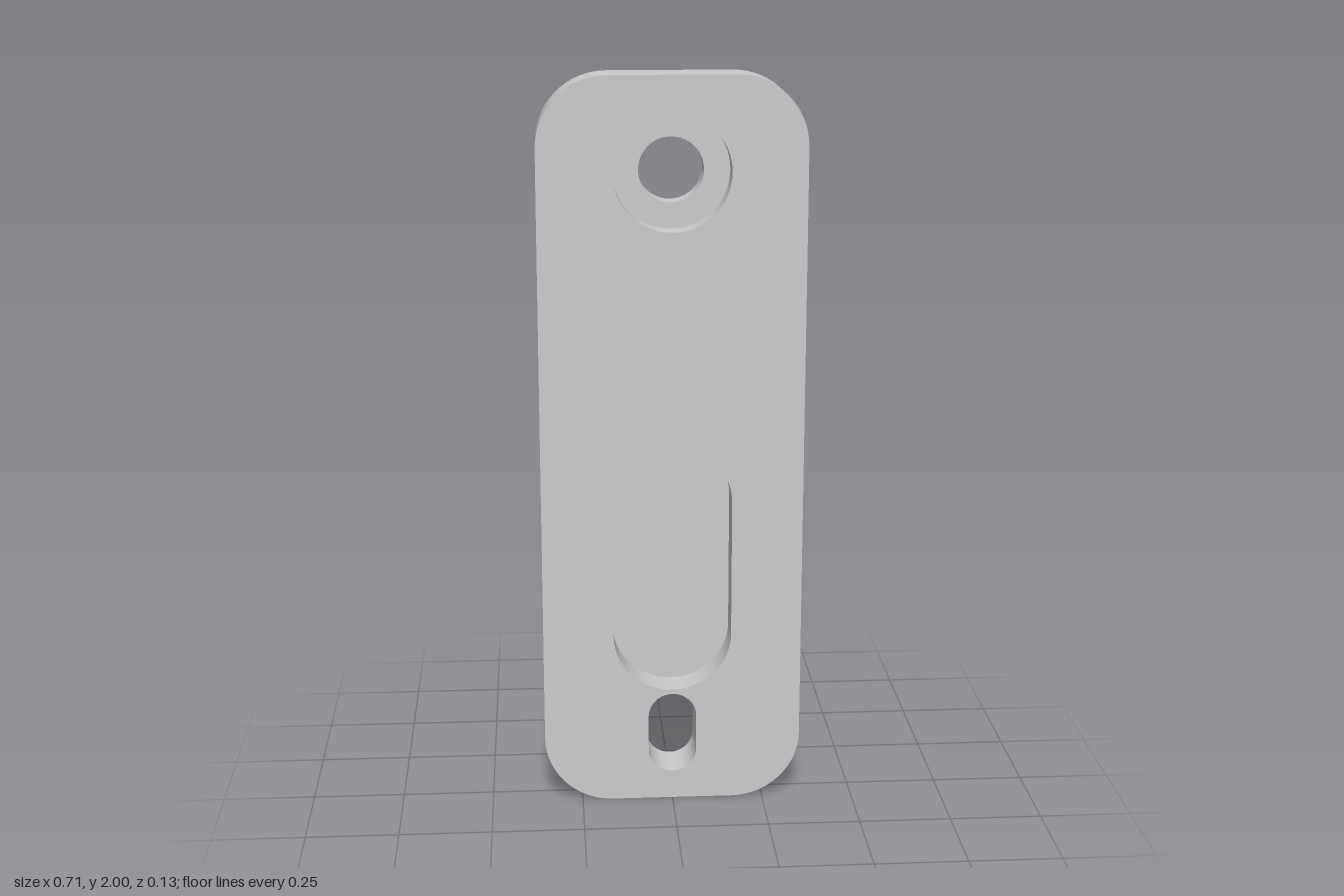
import * as THREE from 'three';
import { toCreasedNormals } from 'three/addons/utils/BufferGeometryUtils.js';

const HALF = 0.064; // half the plate thickness
const material = new THREE.MeshStandardMaterial({ color: 0xcccccc });

// Counter-clockwise rounded rectangle; r = half the width gives a slot or circle
function outline(cy, w, h, r, segments = 16) {
  const points = [];
  const corners = [[1, 1], [-1, 1], [-1, -1], [1, -1]];
  corners.forEach(([sx, sy], k) => {
    for (let i = 0; i <= segments; i++) {
      const a = (k + i / segments) * Math.PI / 2;
      const p = new THREE.Vector2(
        sx * (w / 2 - r) + r * Math.cos(a),
        cy + sy * (h / 2 - r) + r * Math.sin(a));
      const last = points[points.length - 1];
      if (!last || last.distanceTo(p) > 1e-5) points.push(p);
    }
  });
  if (points[0].distanceTo(points[points.length - 1]) < 1e-5) points.pop();
  return points;
}

// Flat face at depth z, facing the front unless flipped to the back
function face(name, points, holes, z, flip = false) {
  const shape = new THREE.Shape(points);
  shape.holes = holes.map((h) => new THREE.Path(h));
  const geometry = new THREE.ShapeGeometry(shape);
  if (flip) geometry.rotateY(Math.PI);
  geometry.translate(0, 0, z);
  const mesh = new THREE.Mesh(geometry, material);
  mesh.name = name;
  return mesh;
}

// Wall along an outline between two depths; inward walls line openings
function wall(name, points, z0, z1, inward = true) {
  const loop = inward ? [...points].reverse() : points;
  const positions = [];
  loop.forEach((a, i) => {
    const b = loop[(i + 1) % loop.length];
    positions.push(a.x, a.y, z0, b.x, b.y, z0, b.x, b.y, z1);
    positions.push(a.x, a.y, z0, b.x, b.y, z1, a.x, a.y, z1);
  });
  const geometry = new THREE.BufferGeometry();
  geometry.setAttribute('position', new THREE.Float32BufferAttribute(positions, 3));
  const mesh = new THREE.Mesh(toCreasedNormals(geometry, Math.PI / 6), material);
  mesh.name = name;
  return mesh;
}

export function createModel() {
  const group = new THREE.Group();
  group.name = 'mountingPlate';

  const plate = outline(1, 0.706, 2, 0.187);
  const counterbore = outline(1.75, 0.31, 0.31, 0.155);
  const hole = outline(1.75, 0.172, 0.172, 0.086);
  const pocket = outline(0.672, 0.322, 0.698, 0.161);
  const slot = outline(0.195, 0.132, 0.23, 0.066);
  const boreFloor = 0;
  const pocketFloor = HALF - 0.09;

  group.add(
    // Plate body
    face('plateFront', plate, [counterbore, pocket, slot], HALF),
    face('plateBack', plate, [hole, slot], -HALF, true),
    wall('plateRim', plate, -HALF, HALF, false),
    // Counterbored round hole
    wall('counterboreWall', counterbore, boreFloor, HALF),
    face('counterboreFloor', counterbore, [hole], boreFloor),
    wall('holeWall', hole, -HALF, boreFloor),
    // Blind pocket
    wall('pocketWall', pocket, pocketFloor, HALF),
    face('pocketFloor', pocket, [], pocketFloor),
    // Through slot
    wall('slotWall', slot, -HALF, HALF),
  );
  return group;
}
